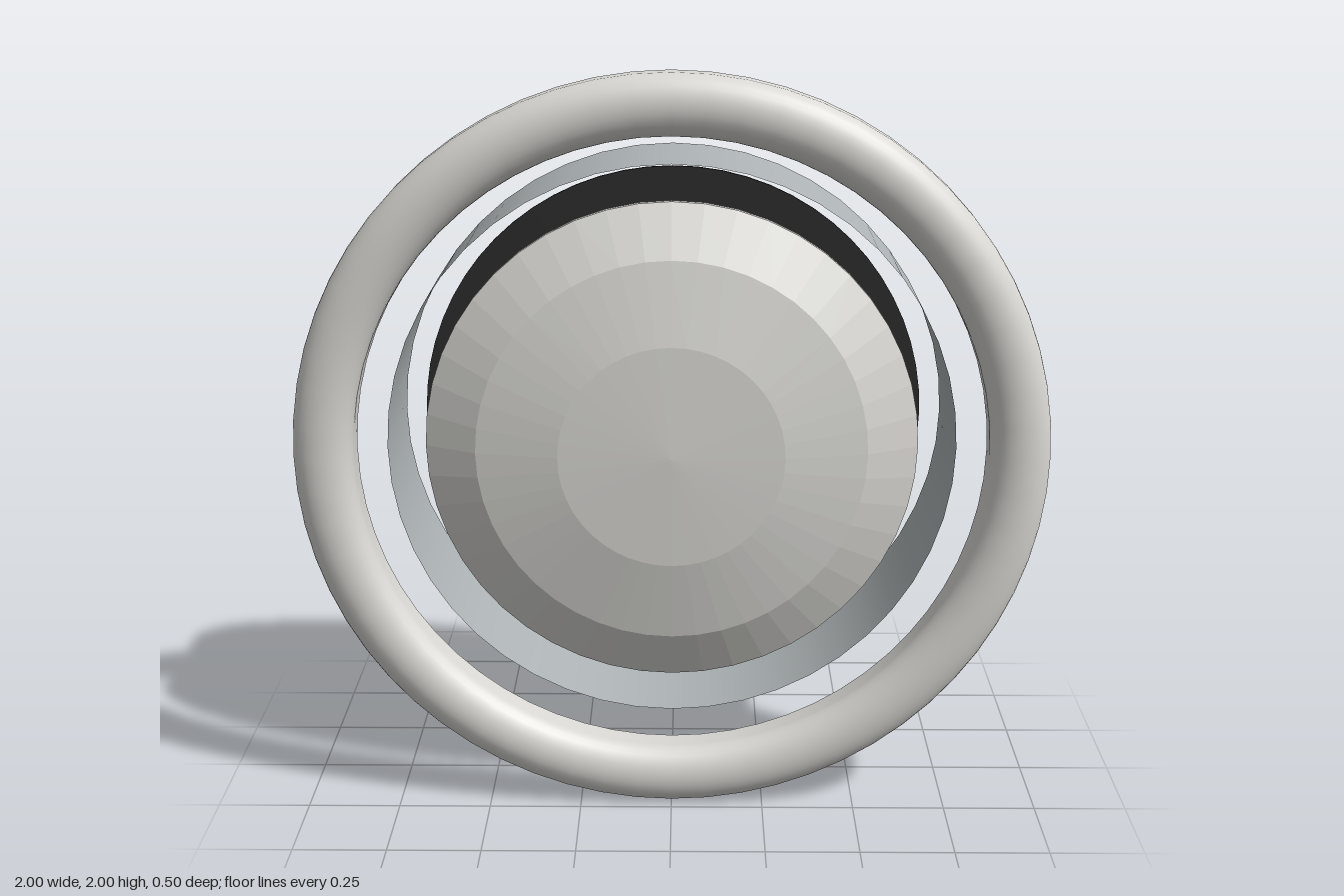
import * as THREE from 'three';

export function createModel() {
  const model = new THREE.Group();
  const side = THREE.DoubleSide;
  const paleGrey = new THREE.MeshStandardMaterial({ name: 'paleGrey', color: 0xd9d8d4, side });
  const steelGrey = new THREE.MeshStandardMaterial({ name: 'steelGrey', color: 0xaeb4b6, side });
  const charcoal = new THREE.MeshStandardMaterial({ name: 'charcoal', color: 0x2b2b2b });

  // Turn a (radius, depth) profile about the front-to-back axis
  function turned(name, profile, material, segments, faceted = false) {
    let geo = new THREE.LatheGeometry(profile.map(([r, z]) => new THREE.Vector2(r, z)), segments);
    if (faceted) {
      geo = geo.toNonIndexed();
      geo.computeVertexNormals();
    }
    geo.rotateX(Math.PI / 2);
    const mesh = new THREE.Mesh(geo, material);
    mesh.name = name;
    mesh.position.y = 1;
    model.add(mesh);
  }

  // Hollow trim ring: rounded arch, open at the back
  const arch = [[1, 0.13]];
  for (let i = 0; i <= 14; i++) {
    const a = (i / 14) * Math.PI;
    arch.push([0.92 + 0.08 * Math.cos(a), 0.19 + 0.06 * Math.sin(a)]);
  }
  arch.push([0.84, 0.13]);
  turned('trimRing', arch, paleGrey, 64);

  // Thin open sleeve behind the ring
  turned('sleeve', [[0.76, -0.25], [0.76, 0.13]], steelGrey, 48);

  // Shallow faceted dome with a short rim
  turned('domeCap', [[0.66, 0.09], [0.66, 0.11], [0.52, 0.185], [0.3, 0.228], [0, 0.24]],
    paleGrey, 48, true);

  // Dark plate closing the rear
  turned('backPlate', [[0, -0.235], [0.7, -0.235], [0.7, -0.225], [0, -0.225]], charcoal, 64, true);

  return model;
}
